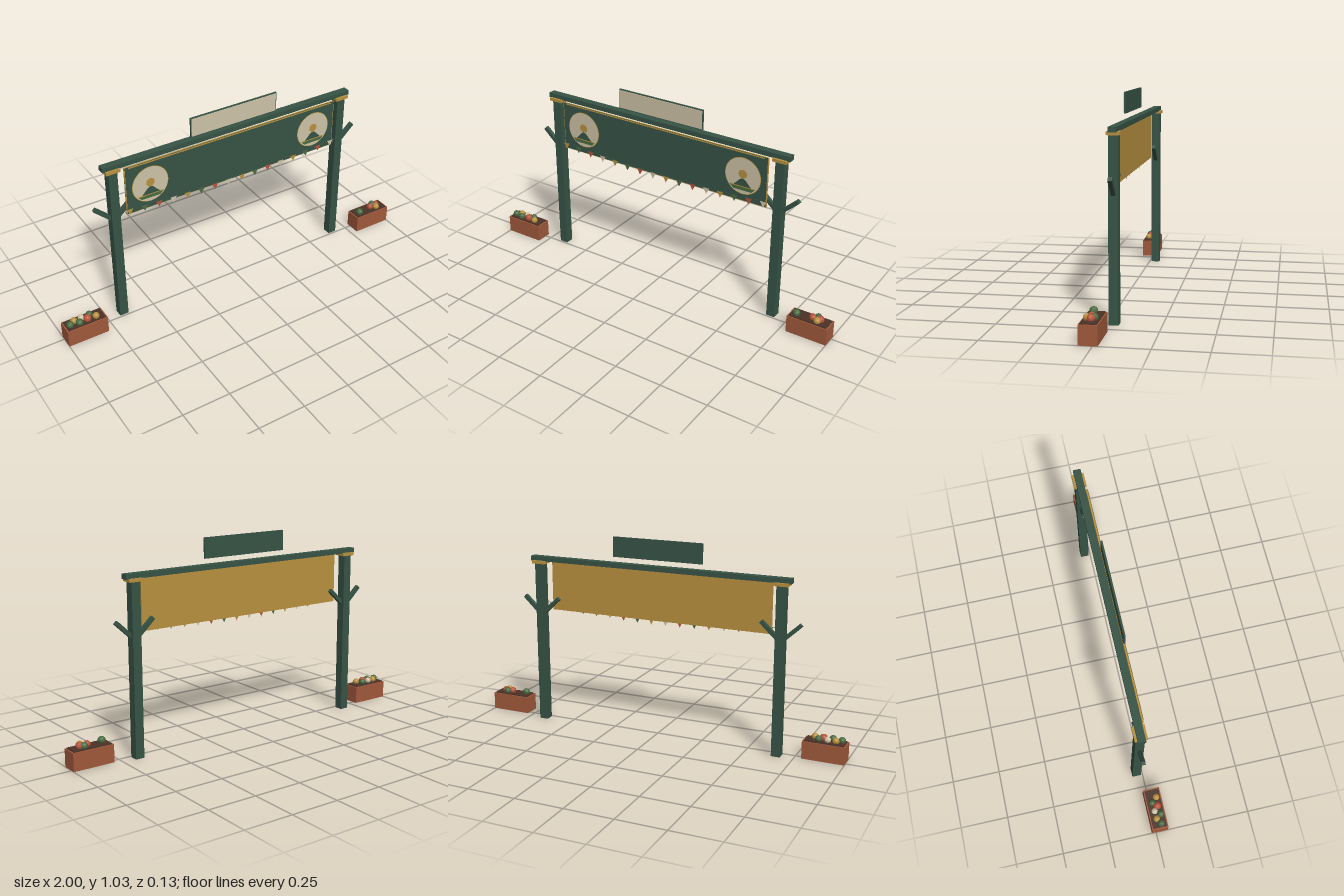
import * as THREE from 'three';

export function createModel() {
  const root = new THREE.Group();
  root.name = 'bannerGate';

  const mat = (name, color, extra = {}) => {
    const m = new THREE.MeshStandardMaterial({ color, ...extra });
    m.name = name;
    return m;
  };
  const green = mat('dark green', 0x375345);
  const gold = mat('gold', 0xb8913f);
  const cream = mat('cream', 0xcdc3a6);
  const terracotta = mat('terracotta', 0xa0593b);
  const soil = mat('soil', 0x4a3328);
  const red = mat('red', 0xb5533a);
  const leaf = mat('leaf green', 0x4a6b42);
  for (const m of [gold, cream, red, leaf, green]) m.side = THREE.DoubleSide;

  const add = (parent, name, geo, material, x = 0, y = 0, z = 0) => {
    const m = new THREE.Mesh(geo, material);
    m.name = name;
    m.position.set(x, y, z);
    parent.add(m);
    return m;
  };
  // Box given by its lower and upper corners
  const box = (parent, name, material, [x0, y0, z0], [x1, y1, z1]) =>
    add(parent, name, new THREE.BoxGeometry(x1 - x0, y1 - y0, z1 - z0), material,
      (x0 + x1) / 2, (y0 + y1) / 2, (z0 + z1) / 2);

  // Top beam
  box(root, 'topBeam', green, [-0.712, 0.875, -0.051], [0.712, 0.9, -0.013]);

  // Posts with gold caps and a V of braces
  for (const s of [-1, 1]) {
    const post = new THREE.Group();
    post.name = s > 0 ? 'leftPost' : 'rightPost';
    post.position.x = s * 0.662;
    root.add(post);
    box(post, 'column', green, [-0.023, 0, -0.055], [0.023, 0.865, -0.009]);
    box(post, 'cap', gold, [-0.037, 0.862, -0.063], [0.037, 0.878, -0.001]);
    for (const d of [-1, 1]) {
      const brace = add(post, 'brace', new THREE.BoxGeometry(0.02, 0.12, 0.02), green, d * 0.057, 0.637, -0.032);
      brace.rotation.z = -d * 0.82;
    }
  }

  // Banner: gold backing, green face and gold trim strip
  box(root, 'bannerBack', gold, [-0.608, 0.611, -0.009], [0.608, 0.873, -0.001]);
  box(root, 'bannerFace', green, [-0.604, 0.614, -0.001], [0.604, 0.873, 0.0005]);
  box(root, 'bannerTrim', gold, [-0.588, 0.865, 0.0005], [0.588, 0.871, 0.0018]);

  // Raised sign above the beam
  box(root, 'signBoard', green, [-0.245, 0.924, -0.012], [0.245, 1.028, -0.003]);
  box(root, 'signFace', cream, [-0.241, 0.928, -0.003], [0.241, 1.024, -0.0018]);

  // Round medallions with a simple figure
  const dome = new THREE.Shape();
  dome.moveTo(-0.055, 0);
  dome.quadraticCurveTo(-0.035, 0.018, -0.02, 0.036);
  dome.quadraticCurveTo(0, 0.056, 0.02, 0.036);
  dome.quadraticCurveTo(0.035, 0.018, 0.055, 0);
  const bowl = new THREE.Shape();
  bowl.moveTo(-0.085, 0.012);
  bowl.lineTo(0.085, 0.012);
  bowl.quadraticCurveTo(0.045, -0.03, 0, -0.03);
  bowl.quadraticCurveTo(-0.045, -0.03, -0.085, 0.012);
  const band = new THREE.Shape();
  band.moveTo(-0.07, 0.006);
  band.lineTo(0.07, 0.006);
  band.lineTo(0.05, -0.014);
  band.lineTo(-0.05, -0.014);
  for (const s of [-1, 1]) {
    const medal = new THREE.Group();
    medal.name = s > 0 ? 'leftMedallion' : 'rightMedallion';
    medal.position.set(s * 0.477, 0.745, 0);
    root.add(medal);
    add(medal, 'rim', new THREE.CircleGeometry(0.098, 48), gold, 0, 0, 0.0012);
    add(medal, 'disc', new THREE.CircleGeometry(0.095, 48), cream, 0, 0, 0.002);
    add(medal, 'figureBody', new THREE.ShapeGeometry(dome), green, 0, -0.06, 0.0028);
    add(medal, 'figureHead', new THREE.CircleGeometry(0.023, 20), gold, 0, 0.01, 0.0036);
    add(medal, 'figureBase', new THREE.ShapeGeometry(band), leaf, 0, -0.062, 0.0036);
    add(medal, 'figureBaseLine', new THREE.PlaneGeometry(0.14, 0.005), gold, 0, -0.056, 0.0044);
  }

  // Bunting on a sagging cord
  const sag = (x) => 0.619 + 0.025 * (x / 0.62) ** 2;
  const cordPoints = [];
  for (let i = 0; i <= 12; i++) {
    const x = -0.64 + (1.28 * i) / 12;
    cordPoints.push(new THREE.Vector3(x, sag(x), 0.003));
  }
  add(root, 'buntingCord', new THREE.TubeGeometry(new THREE.CatmullRomCurve3(cordPoints), 40, 0.0018, 5), green);
  const flag = new THREE.Shape();
  flag.moveTo(-0.018, 0);
  flag.lineTo(0, -0.033);
  flag.lineTo(0.018, 0);
  const flagGeo = new THREE.ShapeGeometry(flag);
  const flagColors = [gold, leaf, red, cream];
  for (let i = 0; i < 16; i++) {
    const x = -0.594 + 0.0792 * i;
    add(root, 'buntingFlag', flagGeo, flagColors[i % 4], x, sag(x), 0.005);
  }

  // Planters: [x, z, radius, colour] for each bloom
  const blooms = {
    '-1': [
      [-0.972, 0.03, 0.019, leaf], [-0.945, 0.012, 0.018, gold], [-0.925, 0.038, 0.019, leaf],
      [-0.905, 0.01, 0.017, cream], [-0.88, 0.03, 0.021, red], [-0.86, 0.008, 0.018, leaf],
      [-0.835, 0.035, 0.018, gold],
    ],
    '1': [
      [0.822, 0.03, 0.02, leaf], [0.905, 0.02, 0.019, red],
      [0.928, 0.006, 0.02, leaf], [0.935, 0.036, 0.019, gold], [0.945, 0.018, 0.02, red],
    ],
  };
  for (const s of [-1, 1]) {
    const planter = new THREE.Group();
    planter.name = s > 0 ? 'leftPlanter' : 'rightPlanter';
    root.add(planter);
    const cx = s * 0.8925;
    box(planter, 'planterBox', terracotta, [cx - 0.1075, 0, -0.023], [cx + 0.1075, 0.091, 0.063]);
    box(planter, 'soil', soil, [cx - 0.1, 0.088, -0.017], [cx + 0.1, 0.096, 0.057]);
    blooms[s].forEach(([x, z, r, m], i) => {
      const b = add(planter, 'bloom', new THREE.IcosahedronGeometry(r, 1).toNonIndexed(), m, x, 0.105, z);
      b.geometry.computeVertexNormals();
      b.rotation.y = i;
    });
  }

  return root;
}
